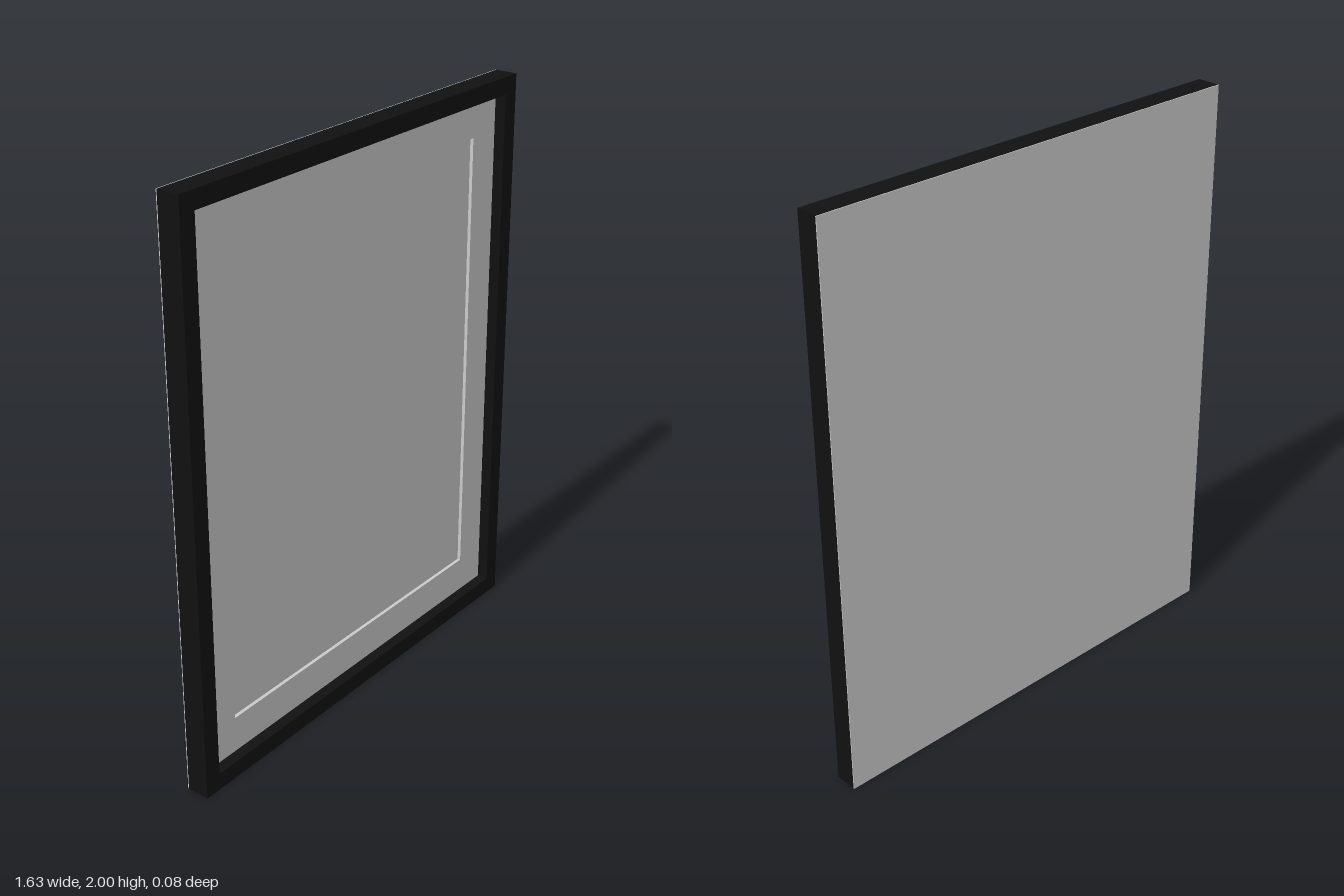
import * as THREE from 'three';

const W = 1.635, H = 2, D = 0.083; // overall size
const BORDER = 0.06;               // frame face width
const BACK = 0.003;                // backing thickness
const RECESS = 0.04;               // mat set behind the frame face
const MAT = 0.012;                 // mat board thickness

// Rectangular ring, centred on x and y, extruded from z0 to z1
function ring(w, h, innerW, innerH, z0, z1) {
  const rect = (path, a, b) => path.moveTo(-a / 2, -b / 2).lineTo(a / 2, -b / 2)
    .lineTo(a / 2, b / 2).lineTo(-a / 2, b / 2).closePath();
  const shape = rect(new THREE.Shape(), w, h);
  shape.holes.push(rect(new THREE.Path(), innerW, innerH));
  return new THREE.ExtrudeGeometry(shape, { depth: z1 - z0, bevelEnabled: false })
    .translate(0, 0, z0);
}

// Flat board from z0 to z1
function board(w, h, z0, z1) {
  return new THREE.BoxGeometry(w, h, z1 - z0).translate(0, 0, (z0 + z1) / 2);
}

export function createModel() {
  const group = new THREE.Group();
  group.name = 'pictureFrame';
  const grey = new THREE.MeshStandardMaterial({ color: 0xcccccc });
  const black = new THREE.MeshStandardMaterial({ color: 0x111111 });

  const add = (name, geometry, material) => {
    const mesh = new THREE.Mesh(geometry, material);
    mesh.name = name;
    mesh.position.y = H / 2;
    group.add(mesh);
  };

  const back = -D / 2, front = D / 2;
  const innerW = W - 2 * BORDER, innerH = H - 2 * BORDER;
  const matFront = front - RECESS;

  // Black moulding around the edge
  add('frame', ring(W, H, innerW, innerH, back + BACK, front), black);
  // Mat with its window
  add('mat', ring(innerW, innerH, 1.265, 1.625, matFront - MAT, matFront), grey);
  // Print showing through the mat window
  add('print', board(innerW, innerH, matFront - MAT - 0.005, matFront - MAT), grey);
  // Thin board closing the back
  add('backing', board(W, H, back, back + BACK), grey);

  return group;
}
